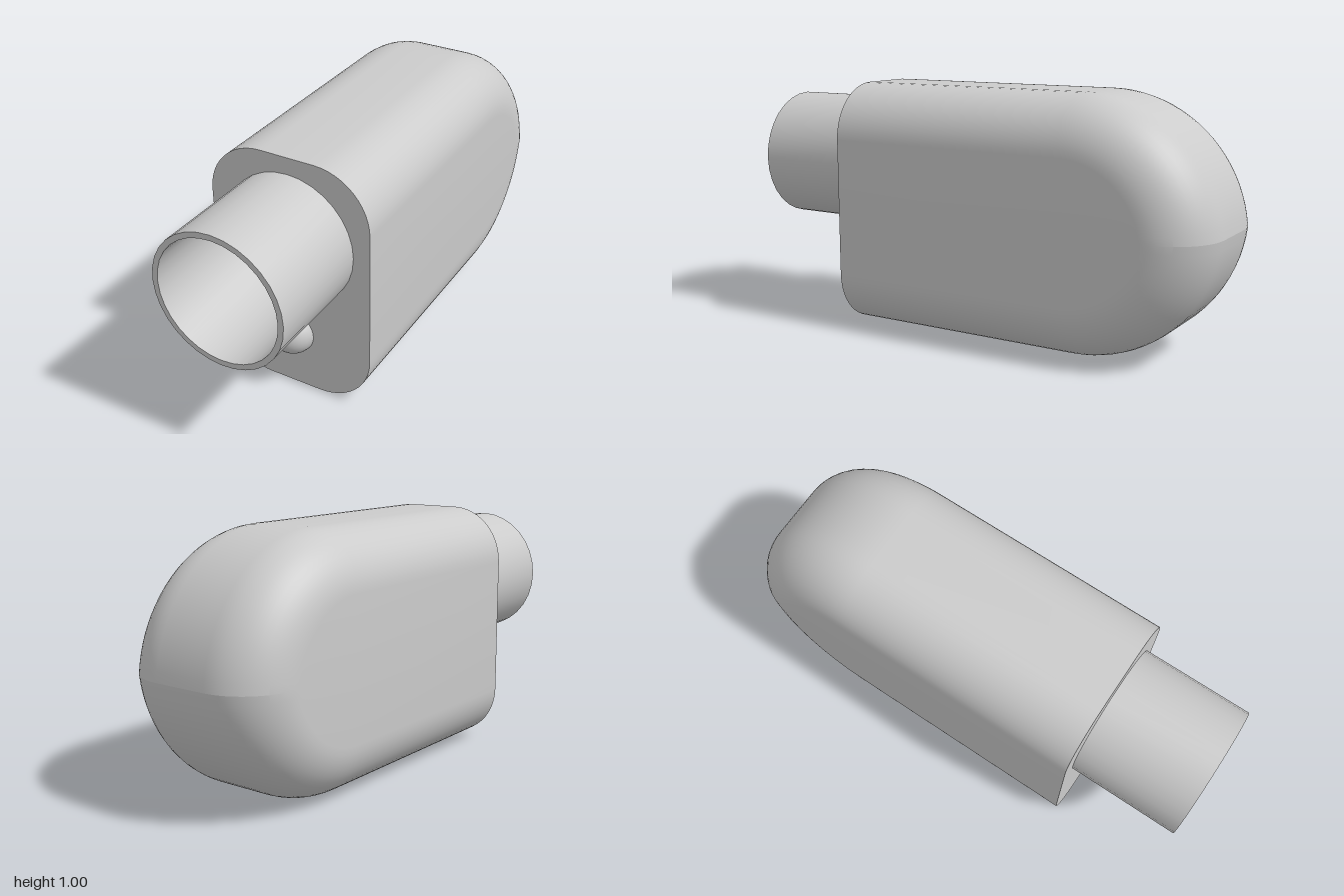
import * as THREE from 'three';
import { toCreasedNormals } from 'three/addons/utils/BufferGeometryUtils.js';

const U = 1 / 9;                 // design unit
const FRONT = 5 * U;             // z of the flat front face
const HALF_W = 3 * U;
const EDGE = 2 * U;              // rounding of the long edges
const BACK_R = 5 * U;            // rounding of the back, upper and lower half
const ARC = 20, FILLET = 12;

// Half-width and inset of the rounded edge, from the left side to the right
function edgeProfile() {
  const pts = [];
  for (let i = 0; i <= FILLET; i++) {
    const a = (i / FILLET) * Math.PI / 2;
    pts.push([HALF_W - EDGE + EDGE * Math.cos(a), EDGE * (1 - Math.sin(a))]);
  }
  return pts.concat(pts.slice().reverse().map(([x, d]) => [-x, d]));
}

// Side outline inset by d: front top, round the back, front bottom
function outline(d) {
  const cy = 1 - BACK_R, r = BACK_R - d;
  const cz = -1 + Math.sqrt(BACK_R ** 2 - (0.5 - cy) ** 2);
  const end = Math.acos((0.5 - cy) / r);
  const half = [[1 - d, FRONT]];
  for (let i = 0; i <= ARC; i++) {
    const a = (i / ARC) * end;
    half.push([cy + r * Math.cos(a), cz - r * Math.sin(a)]);
  }
  return half.concat(half.slice(0, -1).reverse().map(([y, z]) => [1 - y, z]));
}

function shellGeometry() {
  const rings = edgeProfile().map(([x, d]) => outline(d).map(([y, z]) => [x, y, z]));
  const pos = [];
  const quad = (a, b, c, d) => pos.push(...a, ...b, ...c, ...a, ...c, ...d);
  const n = rings[0].length, last = rings.length - 1;
  // wrap-around wall
  for (let k = 0; k < last; k++) {
    for (let j = 0; j < n - 1; j++) {
      quad(rings[k][j], rings[k][j + 1], rings[k + 1][j + 1], rings[k + 1][j]);
    }
  }
  // flat sides, strips between upper and lower outline
  const L = rings[0], R = rings[last], mid = (n - 1) / 2;
  for (let j = 0; j < mid; j++) {
    const b = n - 1 - j;
    if (j === mid - 1) {
      pos.push(...L[j], ...L[b], ...L[mid], ...R[j], ...R[mid], ...R[b]);
    } else {
      quad(L[j], L[b], L[b - 1], L[j + 1]);
      quad(R[j], R[j + 1], R[b - 1], R[b]);
    }
  }
  const g = new THREE.BufferGeometry();
  g.setAttribute('position', new THREE.Float32BufferAttribute(pos, 3));
  return toCreasedNormals(g, 0.17);
}

export function createModel() {
  const model = new THREE.Group();
  const material = new THREE.MeshStandardMaterial({ color: 0xcccccc });
  const add = (name, geometry, x, y, z) => {
    const mesh = new THREE.Mesh(geometry, material);
    mesh.name = name;
    mesh.position.set(x, y, z);
    model.add(mesh);
  };

  // body with a domed back
  add('body', shellGeometry(), 0, 0, 0);

  // flat front plate closing the body
  const top = edgeProfile().map(([x, d]) => new THREE.Vector2(x, 1 - d));
  const bottom = top.slice().reverse().map((p) => new THREE.Vector2(p.x, 1 - p.y));
  add('frontPlate', new THREE.ShapeGeometry(new THREE.Shape([...top, ...bottom])), 0, 0, FRONT);

  // open thin-walled tube
  const wall = [[2.4, 0], [2.4, 4], [2.2, 4], [2.2, 0]].map(([r, h]) => new THREE.Vector2(r * U, h * U));
  const tube = new THREE.LatheGeometry(wall, 32).rotateX(Math.PI / 2);
  add('tube', toCreasedNormals(tube, 0.6), 0, 6 * U, FRONT);

  // round button under the tube
  add('button', new THREE.SphereGeometry(0.8 * U, 32, 16), 0, 0.247, FRONT);

  return model;
}
